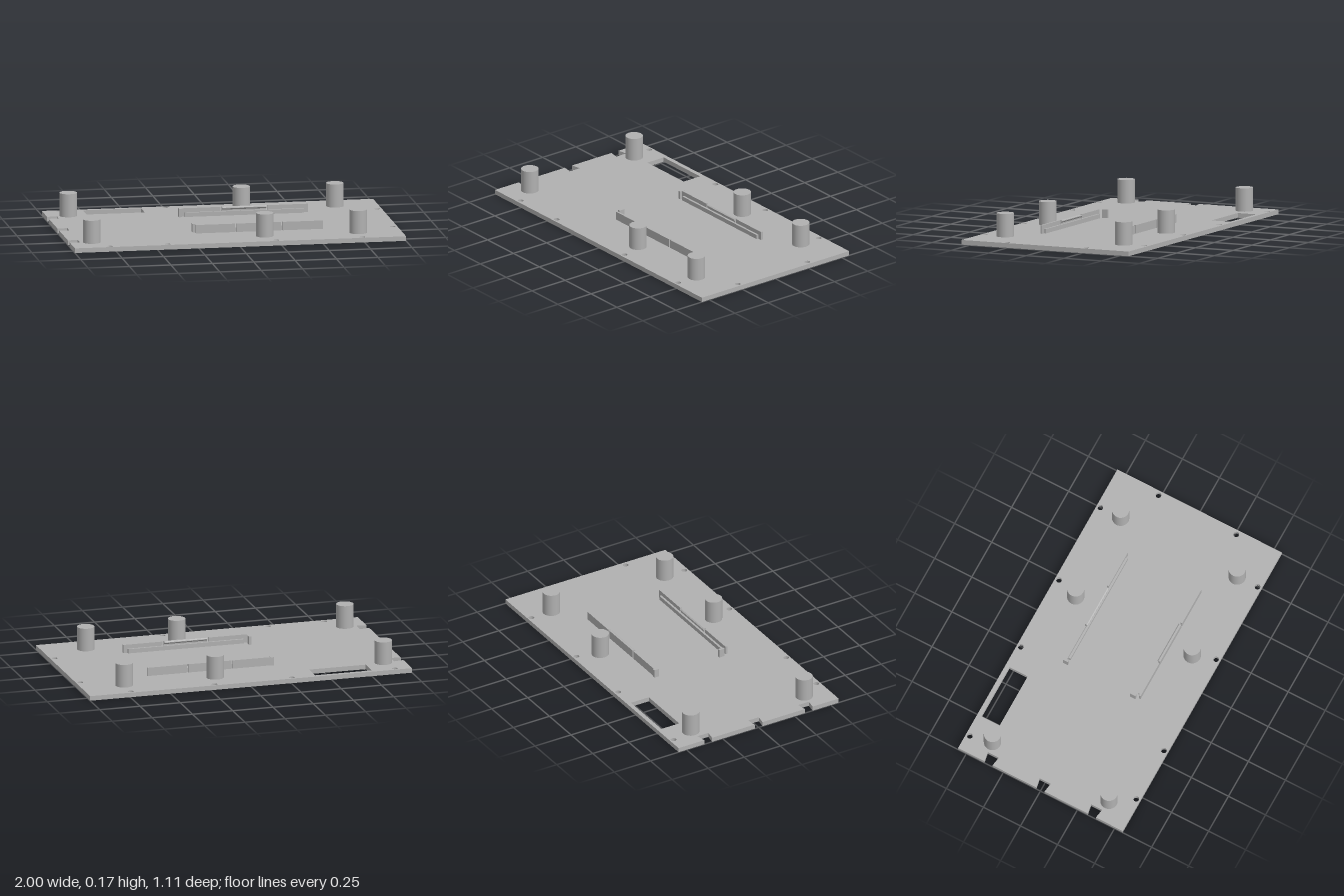
import * as THREE from 'three';

export function createModel() {
  const group = new THREE.Group();
  const grey = new THREE.MeshStandardMaterial({ color: 0xb0b0b0 });
  grey.name = 'grey plastic';
  const T = 0.028; // plate thickness

  const add = (name, geometry, parent = group) => {
    const mesh = new THREE.Mesh(geometry, grey);
    mesh.name = name;
    parent.add(mesh);
    return mesh;
  };
  // box from its lower and upper limits
  const box = (name, parent, x0, x1, y0, y1, z0, z1) =>
    add(name, new THREE.BoxGeometry(x1 - x0, y1 - y0, Math.abs(z1 - z0)), parent)
      .position.set((x0 + x1) / 2, (y0 + y1) / 2, (z0 + z1) / 2);

  // base plate outline, drawn with y = -z, with dovetail notches in the left edge
  const W = 0.555;
  const outline = [[-1, -W], [1, -W], [1, W], [-1, W]];
  for (const c of [0.35, 0, -0.347])
    outline.push([-1, c + 0.027], [-0.94, c + 0.037], [-0.94, c - 0.037], [-1, c - 0.027]);
  const plate = new THREE.Shape(outline.map(([x, y]) => new THREE.Vector2(x, y)));

  // rectangular window
  plate.holes.push(new THREE.Path([[-0.757, 0.405], [-0.757, 0.528], [-0.406, 0.528], [-0.406, 0.405]]
    .map(([x, y]) => new THREE.Vector2(x, y))));

  // screw holes
  const holes = [
    [-0.9, 0.53], [-0.26, 0.53], [0.22, 0.53], [0.74, 0.53], [0.972, 0.262], [0.972, -0.262],
    [-0.783, -0.53], [-0.435, -0.53], [0.22, -0.53], [0.74, -0.53],
  ];
  for (const [x, y] of holes)
    plate.holes.push(new THREE.Path().absarc(x, y, 0.017, 0, Math.PI * 2, true));
  const plateGeometry = new THREE.ExtrudeGeometry(plate, { depth: T, bevelEnabled: false, curveSegments: 12 });
  plateGeometry.rotateX(-Math.PI / 2);
  add('basePlate', plateGeometry);

  // round standoffs
  for (const x of [-0.87, 0.175, 0.74])
    for (const z of [-0.393, 0.393])
      add('standoff', new THREE.CylinderGeometry(0.052, 0.052, 0.168 - T, 40))
        .position.set(x, (0.168 + T) / 2, z);

  // mirrored board rails: slit outer wall, low inner ledge, snap lip in the middle
  for (const s of [-1, 1]) {
    const rail = new THREE.Group();
    rail.name = s > 0 ? 'frontRail' : 'backRail';
    group.add(rail);
    for (const [x0, x1] of [[-0.215, 0.022], [0.032, 0.298], [0.308, 0.552]])
      box('railWall', rail, x0, x1, T, 0.079, s * 0.242, s * 0.254);
    box('railLedge', rail, -0.195, 0.525, T, 0.054, s * 0.229, s * 0.242);
    const lip = new THREE.Shape([[0.242, 0.062], [0.235, 0.07], [0.235, 0.074], [0.242, 0.079]]
      .map(([z, y]) => new THREE.Vector2(-s * z, y)));
    const lipGeometry = new THREE.ExtrudeGeometry(lip, { depth: 0.266, bevelEnabled: false });
    lipGeometry.rotateY(Math.PI / 2).translate(0.032, 0, 0);
    add('snapLip', lipGeometry, rail);
  }

  // end stops
  box('backEndStop', group, -0.23, -0.214, T, 0.079, -0.26, -0.228);
  box('frontEndStop', group, -0.23, -0.214, T, 0.079, 0.19, 0.227);

  return group;
}
